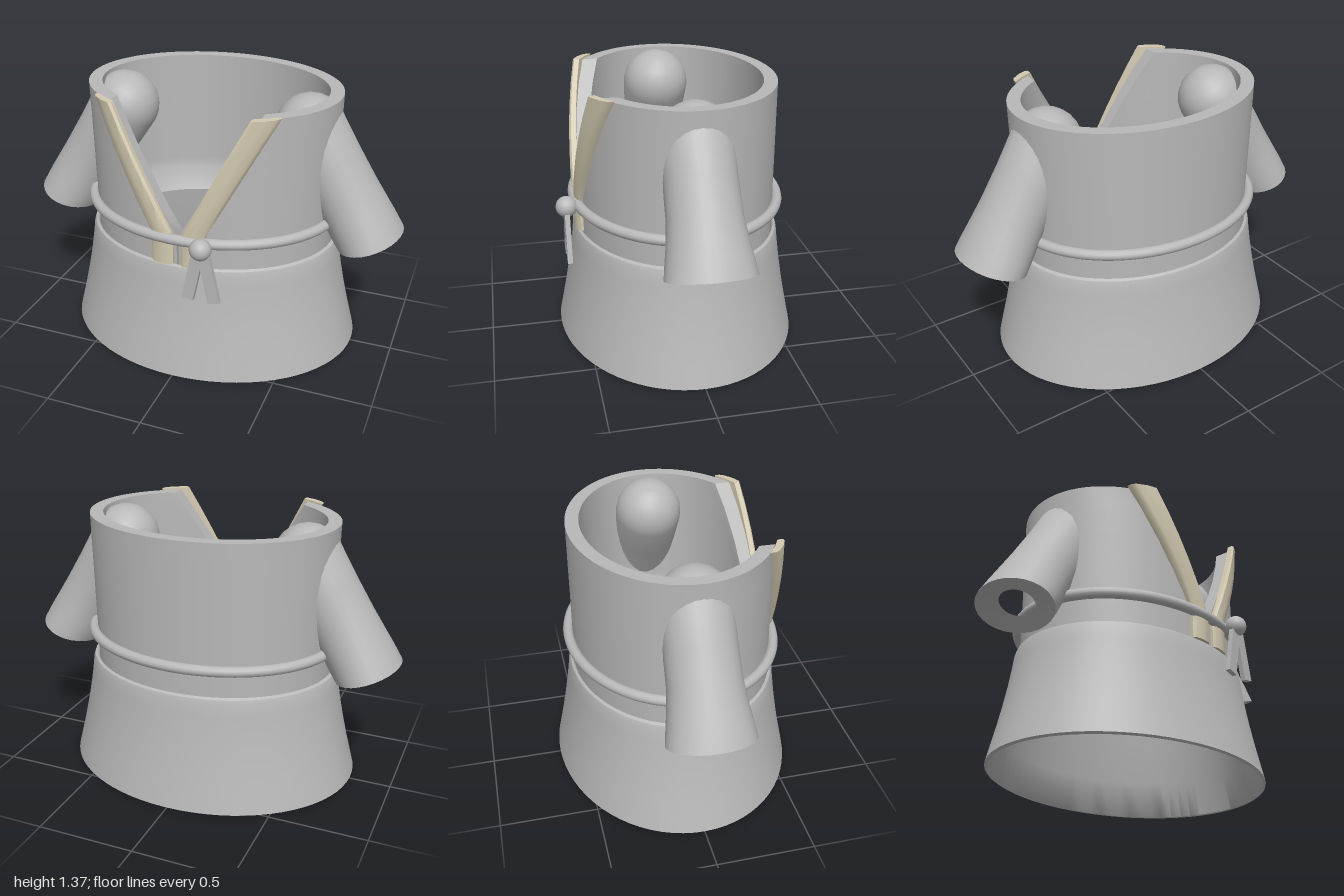
import * as THREE from 'three';
import { toCreasedNormals } from 'three/addons/utils/BufferGeometryUtils.js';

const cloth = new THREE.MeshStandardMaterial({ color: 0xb8b8b8 });
cloth.name = 'grey cloth';
const trim = new THREE.MeshStandardMaterial({ color: 0xd2c9b0 });
trim.name = 'cream trim';

const lerp = THREE.MathUtils.lerp;

// Skin a stack of closed rings; each ring runs counter-clockwise seen from the far end.
function loft(rings, caps, crease = 0.7) {
  const m = rings[0].length, last = (rings.length - 1) * m, index = [];
  const quad = (a, b, c, d) => index.push(a, b, c, a, c, d);
  for (let i = 0; i < rings.length - 1; i++) {
    for (let j = 0; j < m; j++) {
      const k = (j + 1) % m;
      quad(i * m + j, i * m + k, (i + 1) * m + k, (i + 1) * m + j);
    }
  }
  if (caps) {
    for (let k = 0; k < Math.floor(m / 2) - 1; k++) {
      quad(last + k, last + k + 1, last + m - 2 - k, last + m - 1 - k);
      quad(m - 1 - k, m - 2 - k, k + 1, k);
    }
  }
  const geo = new THREE.BufferGeometry();
  geo.setAttribute('position', new THREE.Float32BufferAttribute(rings.flat(2), 3));
  geo.setIndex(index);
  return toCreasedNormals(geo, crease);
}

// Outer ellipse of the torso at a height
const TOP = 1.365, WAIST = 0.76, RZ = 0.508;
const outerRx = y => lerp(0.635, 0.65, (y - 0.58) / (TOP - 0.58));
// Position along the neckline: 0 at the waist and below, 1 at the top
const neck = y => Math.max(0, (y - WAIST) / (TOP - WAIST));

// Thick torso wall, open in a V at the front, with a lip sloping inward at the bottom
function torsoGeometry() {
  const ys = [TOP, 1.25, 1.1, 0.95, 0.85, WAIST, 0.7, 0.58];
  const thickness = y => lerp(0.125, 0.068, Math.min(1, (y - 0.58) / 0.12));
  const steps = 72, rings = [];
  for (let s = 0; s <= steps; s++) {
    const point = (y, inset) => {
      const rx = outerRx(y) - inset, rz = RZ - inset;
      const start = Math.asin(lerp(0.006, 0.37, neck(y)) / rx);
      const a = lerp(start, Math.PI * 2 - start, s / steps);
      return [rx * Math.sin(a), y, rz * Math.cos(a)];
    };
    rings.push([
      ...ys.map(y => point(y, 0)),
      ...[...ys].reverse().map(y => point(y, thickness(y))),
    ]);
  }
  return loft(rings, true);
}

// Raised collar strip that follows the V and then drops below the belt
function lapelGeometry(side) {
  const ys = [0.6, 0.68, 0.745, 0.78, 0.9, 1.02, 1.14, 1.26, 1.373];
  const rings = ys.map(y => {
    const a = lerp(0.02, 0.338, neck(y)), b = lerp(0.135, 0.458, neck(y));
    const w = b - a, lift = 0.018 * neck(y);
    const section = [
      [a, 0.014], [a + w * 0.12, 0.026], [a + w * 0.5, 0.03],
      [b - w * 0.12, 0.026], [b, 0.014], [b, -0.012], [(a + b) / 2, -0.012], [a, -0.012],
    ];
    const ring = section.map(([x, off]) => [
      side * x, y, RZ * Math.sqrt(1 - (x / outerRx(y)) ** 2) + off + lift,
    ]);
    return side < 0 ? ring.reverse() : ring;
  });
  return loft(rings, true);
}

// Straight sleeve with a flared cuff, a small wrist opening and a domed shoulder end
function sleeveGeometry() {
  // x, y, axis angle in degrees, radius across, radius in depth
  const stations = [
    [0.825, 0.672, 110, 0.085, 0.095],
    [0.84, 0.648, 110, 0.17, 0.217],
    [0.80, 0.712, 115, 0.17, 0.205],
    [0.76, 0.776, 120, 0.168, 0.192],
    [0.70, 0.872, 122, 0.167, 0.178],
    [0.60, 1.03, 122, 0.17, 0.174],
    [0.50, 1.19, 122, 0.177, 0.177],
  ];
  // Hemisphere at the shoulder
  for (let i = 1; i <= 6; i++) {
    const a = i * Math.PI / 12, h = 0.177 * Math.sin(a), r = Math.max(0.002, 0.177 * Math.cos(a));
    stations.push([0.5 - 0.53 * h, 1.19 + 0.848 * h, 122, r, r]);
  }
  const n = 28;
  return loft(stations.map(([x, y, deg, r, rz]) => {
    const a = THREE.MathUtils.degToRad(deg);
    return Array.from({ length: n }, (_, i) => {
      const t = i / n * Math.PI * 2, u = r * Math.cos(t);
      return [x + Math.sin(a) * u, y - Math.cos(a) * u, -rz * Math.sin(t)];
    });
  }), false, 0.9);
}

// Flared skirt shell, open at both ends
function skirtGeometry() {
  const profile = [
    [0.772, 0], [0.785, 0.008], [0.768, 0.075], [0.741, 0.18], [0.716, 0.29], [0.694, 0.4],
    [0.676, 0.51], [0.668, 0.57], [0.66, 0.592], [0.645, 0.6], [0.637, 0.59],
    [0.648, 0.53], [0.672, 0.4], [0.718, 0.19], [0.765, 0.005], [0.772, 0],
  ].map(([x, y]) => new THREE.Vector2(x, y));
  const geo = new THREE.LatheGeometry(profile, 72);
  geo.scale(1, 1, 0.802);
  return toCreasedNormals(geo, 0.7);
}

// Round cord around the waist
function beltGeometry() {
  const points = Array.from({ length: 40 }, (_, i) => {
    const a = i / 40 * Math.PI * 2;
    return new THREE.Vector3(0.655 * Math.sin(a), 0.744, 0.53 * Math.cos(a));
  });
  return new THREE.TubeGeometry(new THREE.CatmullRomCurve3(points, true), 96, 0.027, 12, true);
}

export function createModel() {
  const robe = new THREE.Group();
  robe.name = 'robe';
  const add = (name, geometry, material = cloth) => {
    const mesh = new THREE.Mesh(geometry, material);
    mesh.name = name;
    robe.add(mesh);
    return mesh;
  };

  add('skirt', skirtGeometry());
  add('torso', torsoGeometry());
  add('belt', beltGeometry());

  add('leftLapel', lapelGeometry(1), trim);
  add('rightLapel', lapelGeometry(-1), trim);

  add('leftSleeve', sleeveGeometry());
  add('rightSleeve', sleeveGeometry()).rotation.y = Math.PI;

  // Knot with two hanging cord ends
  add('beltKnot', new THREE.SphereGeometry(0.054, 24, 16)).position.set(0.145, 0.745, 0.58);
  for (const side of [-1, 1]) {
    const tail = new THREE.BoxGeometry(0.06, 0.26, 0.025);
    tail.translate(0, -0.13, 0);
    const mesh = add(side > 0 ? 'leftBeltEnd' : 'rightBeltEnd', tail);
    mesh.position.set(0.147 + side * 0.014, 0.72, 0.58);
    mesh.rotation.z = side * 0.21;
  }
  return robe;
}
